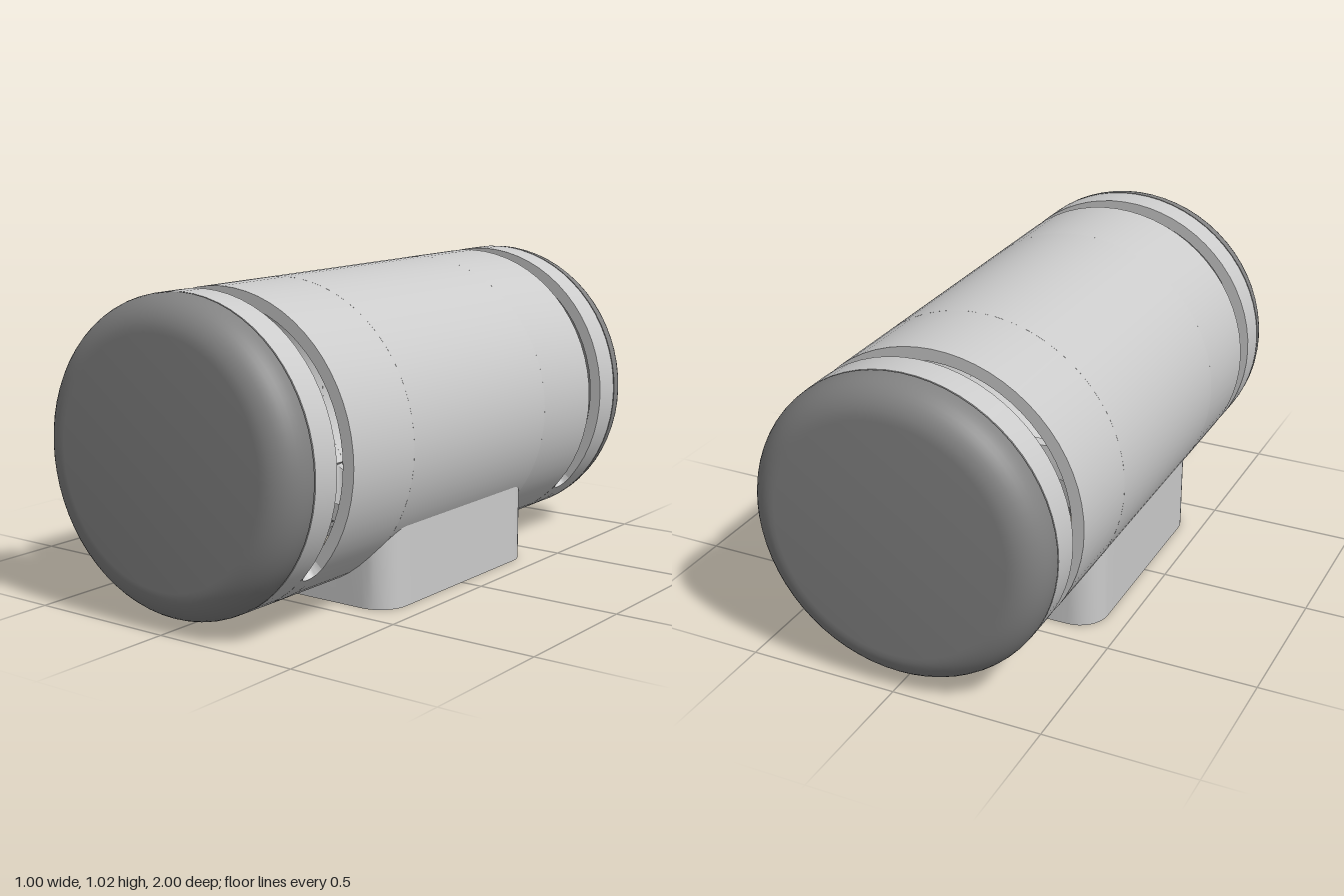
import * as THREE from 'three';
import { toCreasedNormals } from 'three/addons/utils/BufferGeometryUtils.js';

const CY = 0.525, R = 0.5, RI = 0.46;      // tube axis height, outer and inner radius
const grey = new THREE.MeshStandardMaterial({ color: 0xcccccc });
const dark = new THREE.MeshStandardMaterial({ color: 0x828282 });

function add(parent, name, geometry, material = grey) {
  const mesh = new THREE.Mesh(geometry, material);
  mesh.name = name;
  parent.add(mesh);
  return mesh;
}

// Curved wall between two z values; angles run from the bottom of the tube and may vary with z
function shell(z0, z1, start, end, nz = 1) {
  const g = new THREE.BoxGeometry(1, 1, 1, 64, 1, nz);
  const p = g.attributes.position;
  for (let i = 0; i < p.count; i++) {
    const t = p.getZ(i) * 2;
    const a = THREE.MathUtils.lerp(start(t), end(t), p.getX(i) + 0.5);
    const r = p.getY(i) > 0 ? R : RI;
    p.setXYZ(i, -r * Math.sin(a), CY - r * Math.cos(a), THREE.MathUtils.lerp(z0, z1, (t + 1) / 2));
  }
  return toCreasedNormals(g, 0.6);
}

// Rounded square outline with subdivided sides
function roundedSquare(half, r, steps = 16) {
  const pts = [], c = half - r;
  for (let k = 0; k < 4; k++) {
    const rot = k * Math.PI / 2, o = new THREE.Vector2();
    for (let i = 0; i <= 8; i++) {
      const a = i / 8 * Math.PI / 2;
      pts.push(new THREE.Vector2(c + r * Math.cos(a), c + r * Math.sin(a)).rotateAround(o, rot));
    }
    for (let i = 1; i < steps; i++) {
      pts.push(new THREE.Vector2(c - 2 * c * i / steps, half).rotateAround(o, rot));
    }
  }
  return pts;
}

function createTube(group) {
  const tube = new THREE.Group();
  tube.name = 'tube';
  group.add(tube);
  const full = [() => 0, () => 2 * Math.PI];
  // middle stretch, open underneath where the base sits
  const cut = Math.asin(0.39 / R);
  add(tube, 'tubeMiddle', shell(-0.39, 0.39, () => cut, () => 2 * Math.PI - cut));
  // slot floor with rounded slot ends
  const w = 0.04;
  const slotEnd = t => Math.PI / 4 + w * (1 - Math.sqrt(Math.max(0, 1 - t * t))) / R;
  for (const s of [-1, 1]) {
    const section = (name, a, b, range, nz) =>
      add(tube, name, shell(Math.min(s * a, s * b), Math.max(s * a, s * b), ...range, nz));
    section('tubeSection', 0.39, 0.70, full);
    section('slotBridge', 0.70, 0.78, [t => -slotEnd(t), slotEnd], 16);
    section('endRing', 0.78, 0.88, full);
  }
}

function createCaps(group) {
  const pts = [new THREE.Vector2(0, 0.885), new THREE.Vector2(R, 0.885)];
  for (let i = 0; i <= 10; i++) {
    const a = i / 10 * Math.PI / 2;
    pts.push(new THREE.Vector2(R - 0.11 + 0.11 * Math.cos(a), 0.89 + 0.11 * Math.sin(a)));
  }
  pts.push(new THREE.Vector2(0, 1));
  const g = toCreasedNormals(new THREE.LatheGeometry(pts, 64).rotateX(Math.PI / 2), 0.6);
  for (const [name, turn] of [['frontCap', 0], ['backCap', Math.PI]]) {
    const cap = add(group, name, g, dark);
    cap.position.y = CY;
    cap.rotation.y = turn;
  }
}

function createBase(group) {
  // skirt walls rise until they meet the tube
  const skirt = new THREE.Shape(roundedSquare(0.425, 0.1));
  skirt.holes.push(new THREE.Path(roundedSquare(0.39, 0.065)));
  const g = new THREE.ExtrudeGeometry(skirt, { depth: 1, bevelEnabled: false }).rotateX(-Math.PI / 2);
  const p = g.attributes.position, rm = (R + RI) / 2;
  for (let i = 0; i < p.count; i++) {
    if (p.getY(i) > 0.5) p.setY(i, CY - Math.sqrt(rm * rm - p.getX(i) ** 2));
  }
  add(group, 'baseSkirt', toCreasedNormals(g, 0.6));

  // mounting plate with a large centre hole and screw holes
  const w = 0.395, d = 0.32;
  const plate = new THREE.Shape([[-w, -d], [w, -d], [w, d], [-w, d]].map(c => new THREE.Vector2(...c)));
  const hole = (x, y, r) => plate.holes.push(new THREE.Path().absarc(x, y, r, 0, 2 * Math.PI, true));
  hole(0, 0, 0.16);
  for (const sx of [-1, 1]) for (const sz of [-1, 1]) {
    for (const [x, z] of [[0.21, 0.1], [0.11, 0.2], [0.33, 0.06], [0.3, 0.2], [0.19, 0.26]]) {
      hole(sx * x, sz * z, 0.017);
    }
  }
  const pg = new THREE.ExtrudeGeometry(plate, { depth: 0.03, bevelEnabled: false, curveSegments: 20 });
  pg.rotateX(-Math.PI / 2).translate(0, 0.06, 0);
  add(group, 'mountingPlate', toCreasedNormals(pg, 0.6), dark);
}

export function createModel() {
  const group = new THREE.Group();
  group.name = 'slottedTube';
  createTube(group);
  createCaps(group);
  createBase(group);
  return group;
}
